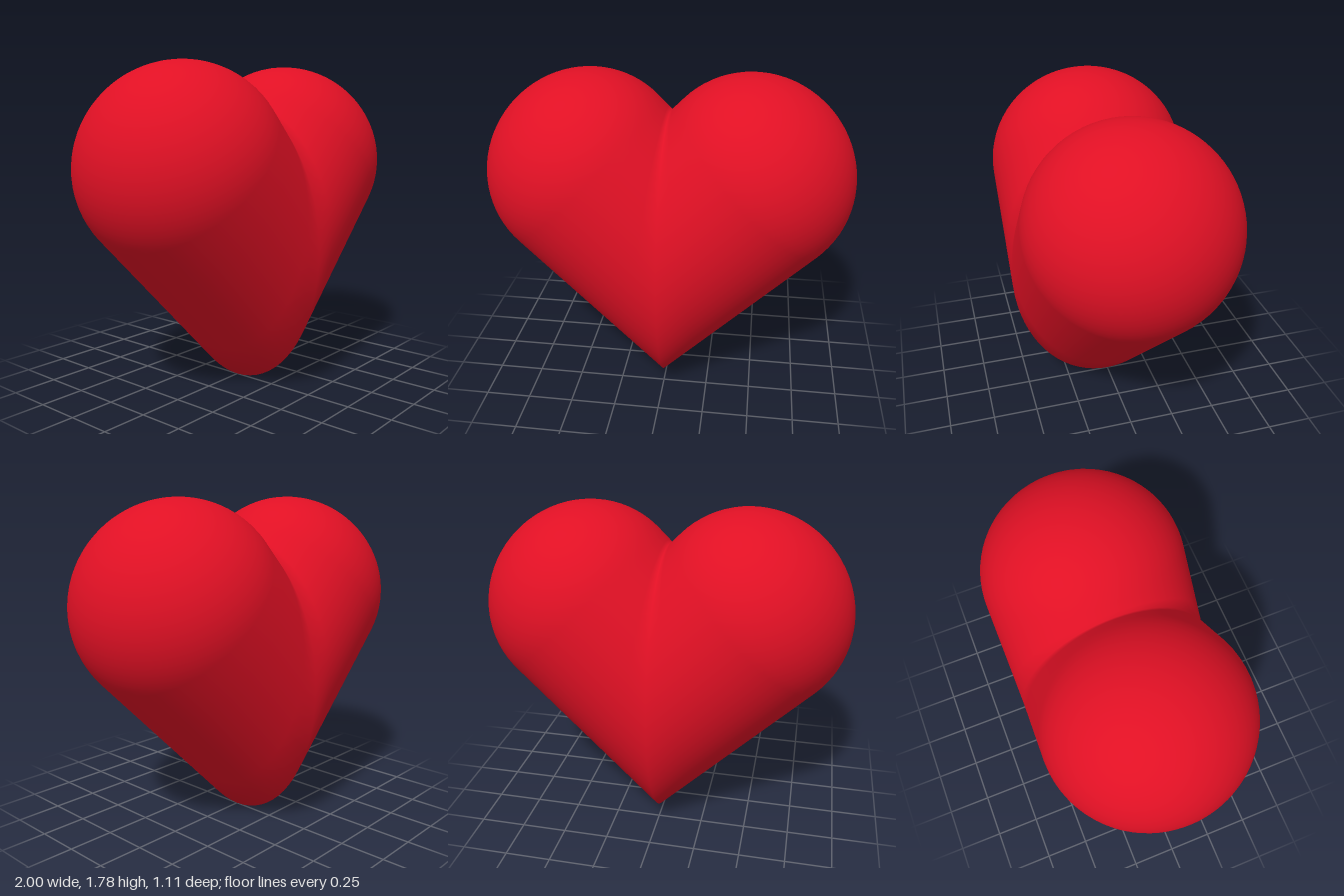
import * as THREE from 'three';
import { mergeGeometries, mergeVertices } from 'three/addons/utils/BufferGeometryUtils.js';

const R = 0.555;         // tube radius
const DOME = 0.53;       // slightly flattened dome height
const LEN = 0.646;       // distance along the slanted axis to the dome
const RINGS = 4;         // bands on the straight stretch
const ARC = 20;          // bands on the dome

// One domed tube leaning 45 degrees, mitred on the plane x = 0
function lobe() {
  const profile = [];
  for (let i = 0; i < RINGS; i++) profile.push(new THREE.Vector2(R, i / RINGS));
  for (let i = 0; i <= ARC; i++) {
    const a = (i / ARC) * Math.PI / 2;
    profile.push(new THREE.Vector2(i === ARC ? 0 : R * Math.cos(a), 1 + DOME * Math.sin(a)));
  }
  const geo = new THREE.LatheGeometry(profile, 72);
  const p = geo.attributes.position;
  for (let i = 0; i < p.count; i++) {
    const k = p.getY(i);
    // slide the straight rings from the mitre plane up to the dome
    p.setY(i, k < 1 ? THREE.MathUtils.lerp(-p.getX(i), LEN, k) : LEN + k - 1);
  }
  geo.rotateZ(-Math.PI / 4);
  geo.translate(0, R * Math.SQRT2, 0);
  geo.deleteAttribute('uv');
  geo.deleteAttribute('normal');
  return geo;
}

export function createModel() {
  const group = new THREE.Group();
  group.name = 'heart';

  // The second lobe is the first turned about y; welding them smooths the seam
  const geo = mergeVertices(mergeGeometries([lobe(), lobe().rotateY(Math.PI)]), 1e-4);
  geo.computeVertexNormals();

  const body = new THREE.Mesh(geo, new THREE.MeshStandardMaterial({ color: 0xe01024 }));
  body.name = 'heartBody';
  group.add(body);
  return group;
}
